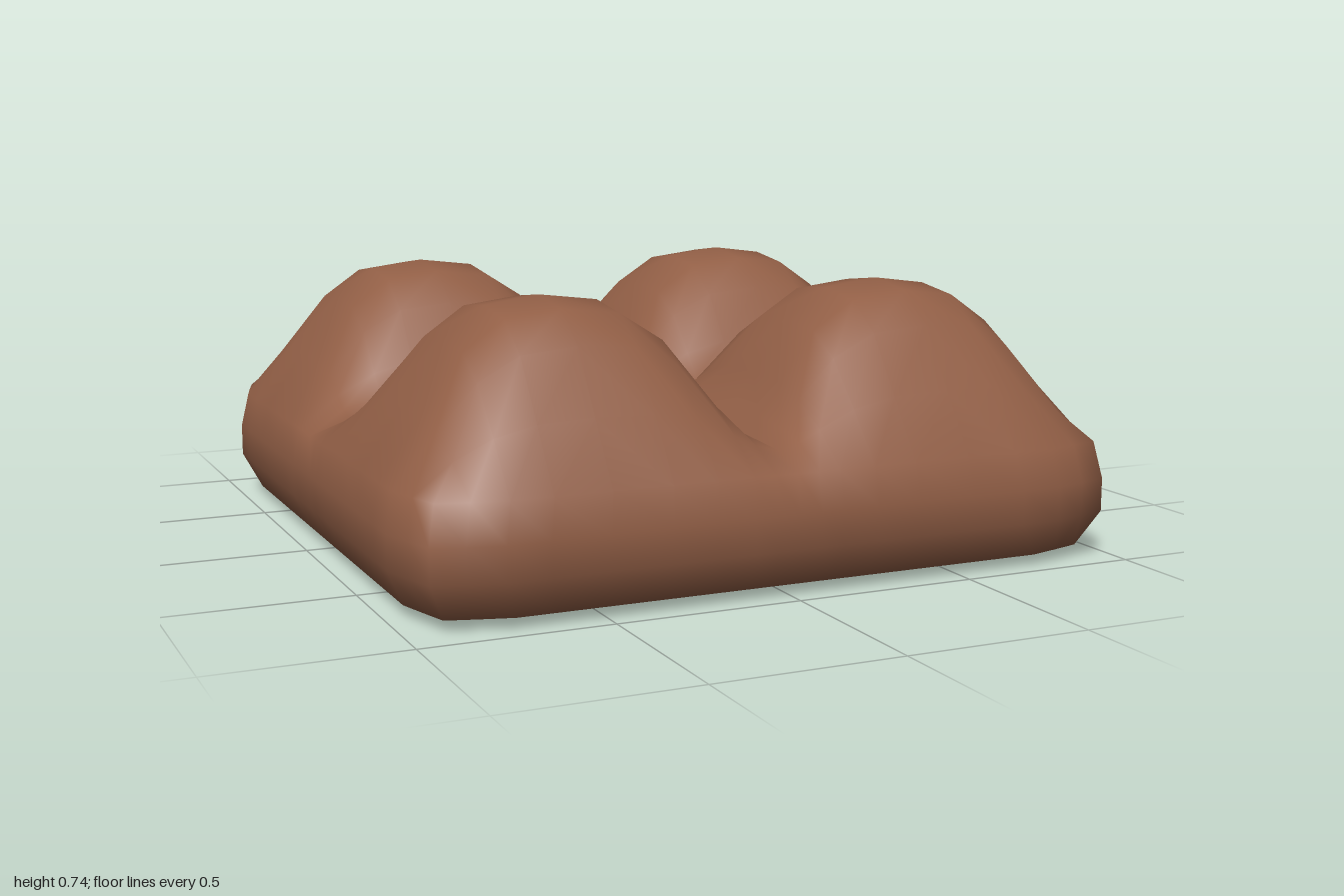
import * as THREE from 'three';

export function createModel() {
  const chocolate = new THREE.MeshStandardMaterial({ color: 0x925f46 });
  chocolate.name = 'milk chocolate brown';

  // Half profile of a block row: distance from the centre groove, height
  const half = [[0, 0.36], [0.06, 0.41], [0.12, 0.5], [0.22, 0.64], [0.34, 0.72],
    [0.5, 0.74], [0.65, 0.72], [0.76, 0.64], [0.87, 0.48], [0.98, 0.36]];
  const line = [...half.slice(1).reverse().map(([s, y]) => [-s, y]), ...half];
  const n = line.length;
  const rim = 0.98;
  const positions = [], indices = [];

  // Pull the four vertical corners in
  const near = (s) => Math.max(0, (Math.abs(s) - 0.76) / (rim - 0.76));
  const addPoint = (sx, y, sz, width) => {
    const k = (width / rim) * (1 - 0.05 * near(sx) * near(sz));
    positions.push(sx * k, y, sz * k);
    return positions.length / 3 - 1;
  };

  // Top: four domes separated by crossing grooves
  const bump = (y) => (y - 0.36) / 0.38;
  const grid = line.map(([sz, yz]) => line.map(([sx, yx]) => {
    const onRim = Math.abs(sx) === rim || Math.abs(sz) === rim;
    const y = 0.36 + 0.38 * bump(yx) * bump(yz) - (onRim ? 0.04 : 0);
    return addPoint(sx, y, sz, rim);
  }));
  for (let j = 0; j < n - 1; j++) {
    for (let i = 0; i < n - 1; i++) {
      const a = grid[j][i], b = grid[j][i + 1], c = grid[j + 1][i + 1], d = grid[j + 1][i];
      // Diagonals follow each dome's slope
      const sx = line[i][0] + line[i + 1][0], sz = line[j][0] + line[j + 1][0];
      const falling = (Math.abs(sx) - 1) * Math.sign(sx) * (Math.abs(sz) - 1) * Math.sign(sz) > 0;
      if (falling) indices.push(a, d, c, a, c, b);
      else indices.push(a, d, b, b, d, c);
    }
  }

  // Walk round the rim of the grid
  const walk = [];
  for (let i = 0; i < n - 1; i++) walk.push([0, i]);
  for (let j = 0; j < n - 1; j++) walk.push([j, n - 1]);
  for (let i = n - 1; i > 0; i--) walk.push([n - 1, i]);
  for (let j = n - 1; j > 0; j--) walk.push([j, 0]);

  // Rounded side rings: half width, height
  let upper = walk.map(([j, i]) => grid[j][i]);
  const count = walk.length;
  for (const [width, y] of [[1, 0.22], [1, 0.13], [0.95, 0.03], [0.77, 0]]) {
    const lower = walk.map(([j, i]) => addPoint(line[i][0], y, line[j][0], width));
    for (let k = 0; k < count; k++) {
      const m = (k + 1) % count;
      indices.push(upper[k], upper[m], lower[k], upper[m], lower[m], lower[k]);
    }
    upper = lower;
  }

  // Flat base
  const centre = addPoint(0, 0, 0, 1);
  for (let k = 0; k < count; k++) indices.push(centre, upper[k], upper[(k + 1) % count]);

  const geometry = new THREE.BufferGeometry();
  geometry.setAttribute('position', new THREE.Float32BufferAttribute(positions, 3));
  geometry.setIndex(indices);
  geometry.computeVertexNormals();

  const bar = new THREE.Mesh(geometry, chocolate);
  bar.name = 'chocolateBar';
  const group = new THREE.Group();
  group.name = 'chocolatePiece';
  group.add(bar);
  return group;
}
